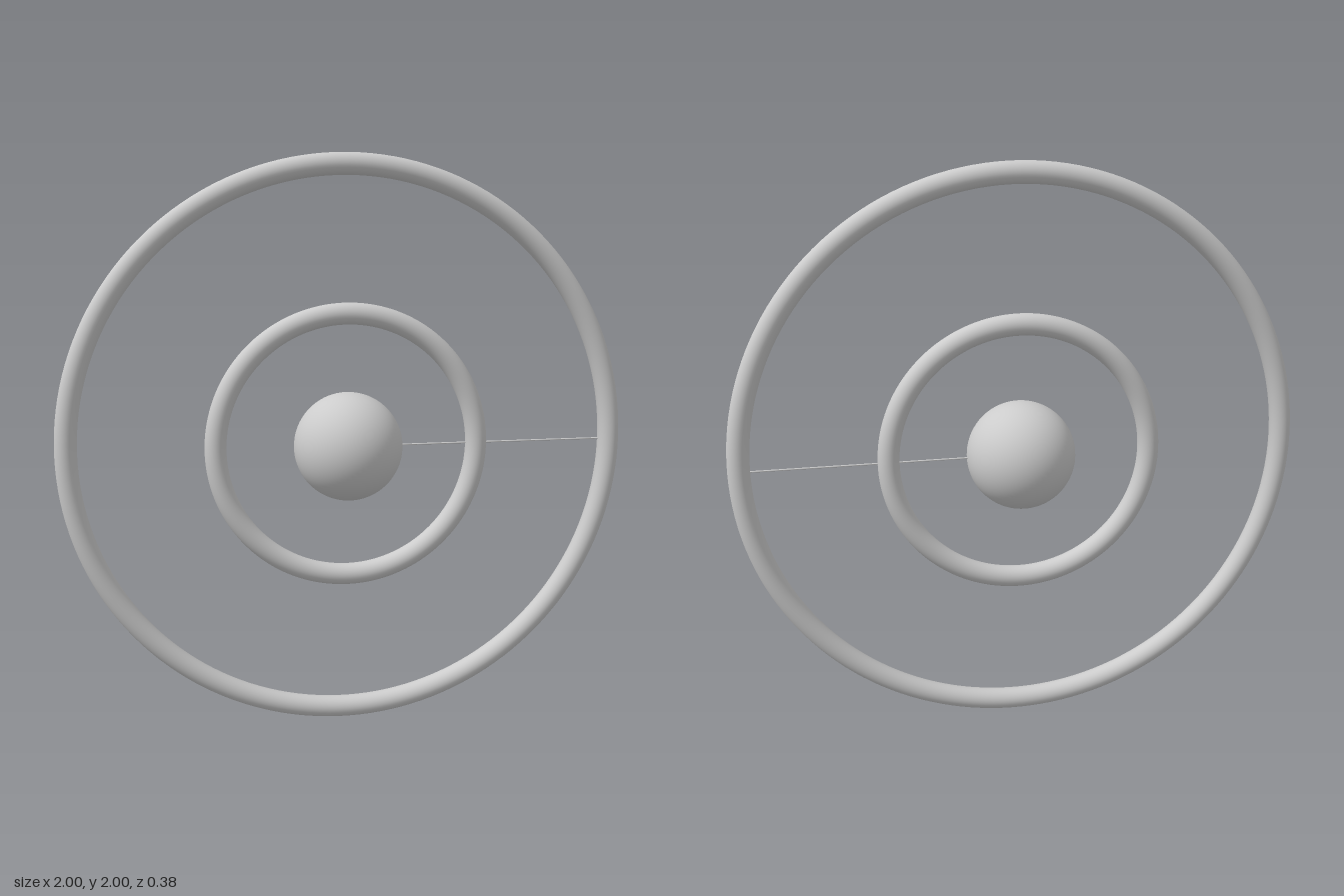
import * as THREE from 'three';

export function createModel() {
  const model = new THREE.Group();
  model.name = 'ringedSphere';
  const material = new THREE.MeshStandardMaterial({ color: 0xcccccc });
  const tube = 0.0375;

  // Every part is centred on the sphere's height
  function add(name, geometry, x = 0) {
    const mesh = new THREE.Mesh(geometry, material);
    mesh.name = name;
    mesh.position.set(x, 1, 0);
    model.add(mesh);
    return mesh;
  }

  // Central ball
  add('centralSphere', new THREE.SphereGeometry(0.19, 64, 48));

  // Two concentric upright rings
  for (const [name, outerRadius] of [['innerRing', 0.5], ['outerRing', 1]]) {
    add(name, new THREE.TorusGeometry(outerRadius - tube, tube, 32, 160));
  }

  // Thin spoke from the ball through the inner ring to the outer ring
  const start = 0.18, end = 0.96;
  const spoke = add('spoke', new THREE.CylinderGeometry(0.003, 0.003, end - start, 12), (start + end) / 2);
  spoke.rotation.z = Math.PI / 2;

  return model;
}
